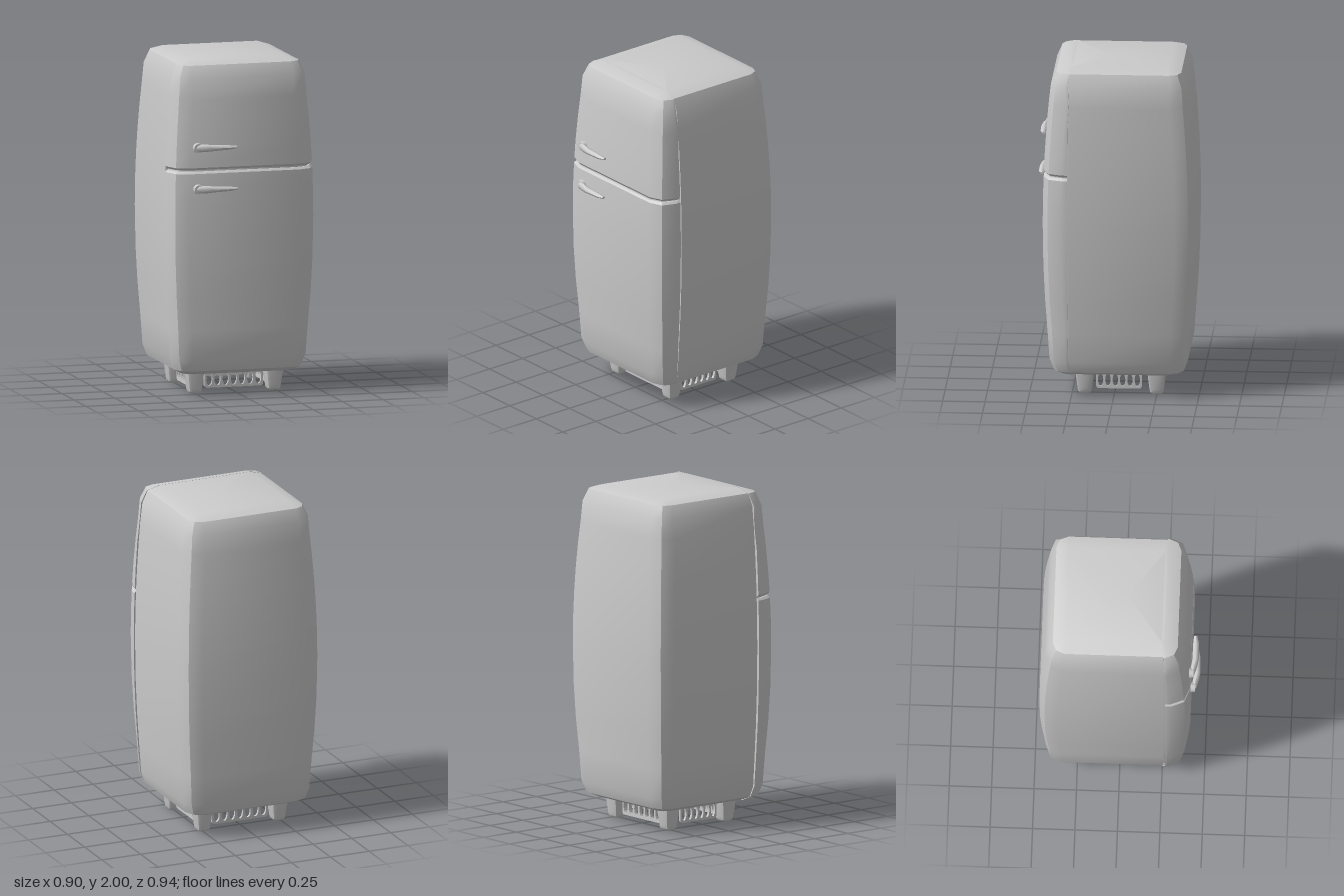
import * as THREE from 'three';
import { toCreasedNormals } from 'three/addons/utils/BufferGeometryUtils.js';

const ZC = -0.0275; // depth centre of the cabinet
const INSET = 0.015; // how far the cabinet sits behind the doors
const material = new THREE.MeshStandardMaterial({ color: 0xcccccc });

function addMesh(parent, name, geometry) {
  const mesh = new THREE.Mesh(geometry, material);
  mesh.name = name;
  parent.add(mesh);
  return mesh;
}

// Skin a stack of closed rings and cap both ends
function loft(rings, crease = 0.5) {
  const n = rings[0].length, pos = [];
  const tri = (...pts) => pts.forEach((p) => pos.push(...p));
  for (let i = 0; i < rings.length - 1; i++) {
    for (let j = 0; j < n; j++) {
      const k = (j + 1) % n;
      const a = rings[i][j], b = rings[i][k], c = rings[i + 1][j], d = rings[i + 1][k];
      tri(a, c, b);
      tri(b, c, d);
    }
  }
  [rings[0], rings[rings.length - 1]].forEach((ring, end) => {
    const mid = [0, 1, 2].map((q) => ring.reduce((s, p) => s + p[q], 0) / n);
    for (let j = 0; j < n; j++) {
      const p = ring[j], q = ring[(j + 1) % n];
      if (end) tri(mid, q, p);
      else tri(mid, p, q);
    }
  });
  const g = new THREE.BufferGeometry();
  g.setAttribute('position', new THREE.Float32BufferAttribute(pos, 3));
  return toCreasedNormals(g, crease);
}

// Two-segment rounded corner k of a rectangle (0 = +x +z, then towards -x)
function corner(k, hx, hz, r, y, zc) {
  const sx = k === 0 || k === 3 ? 1 : -1, sz = k < 2 ? 1 : -1;
  return [0, 1, 2].map((i) => {
    const a = (k + i / 2) * Math.PI / 2;
    return [sx * (hx - r) + r * Math.cos(a), y, zc + sz * (hz - r) + r * Math.sin(a)];
  });
}

const bulge = (y) => 0.447 - 0.062 * (y - 1.05) ** 2;

// Levels are [height, half width, corner radius]
const level = (y) => [y, bulge(y), 0.11];
const bottomLevels = [[0.13, 0.335, 0.06], [0.155, 0.385, 0.09], [0.22, 0.408, 0.1]];
const lowerLevels = [0.4, 0.6, 0.8, 1.05, 1.2].map(level);
const upperLevels = [1.5, 1.65, 1.78].map(level);
const topLevels = [[1.9, 0.4, 0.09], [1.975, 0.368, 0.07], [2, 0.29, 0.002]];

// Cabinet section: full width at the back, stepped in behind the doors
function cabinetRing([y, h, r]) {
  const w = h - INSET;
  const s = Math.min(0.26, ZC + w - r);
  return [
    ...corner(0, w, w, r, y, ZC), ...corner(1, w, w, r, y, ZC),
    [-w, y, s], [-h, y, s],
    ...corner(2, h, h, r, y, ZC), ...corner(3, h, h, r, y, ZC),
    [h, y, s], [w, y, s],
  ];
}

// Door section: front and both wrapped sides, slightly proud of the cabinet
function doorRing([y, h, r]) {
  const w = h + 0.004;
  const s = Math.min(0.27, ZC + h - r - INSET);
  return [
    ...corner(0, w, h, r, y, ZC), ...corner(1, w, h, r, y, ZC),
    [-w, y, s], [w, y, s],
  ];
}

// Panel with oval slots between two feet
function grille(length, slots) {
  const h = length / 2, r = 0.02, y0 = 0.025, y1 = 0.145;
  const shape = new THREE.Shape();
  shape.moveTo(-h, y1);
  shape.lineTo(-h, y0 + r);
  shape.quadraticCurveTo(-h, y0, -h + r, y0);
  shape.lineTo(h - r, y0);
  shape.quadraticCurveTo(h, y0, h, y0 + r);
  shape.lineTo(h, y1);
  const pitch = (length - 0.01) / slots;
  for (let i = 0; i < slots; i++) {
    const hole = new THREE.Path();
    hole.absellipse((i - (slots - 1) / 2) * pitch, 0.077, pitch * 0.37, 0.039, 0, Math.PI * 2, true);
    shape.holes.push(hole);
  }
  const g = new THREE.ExtrudeGeometry(shape, { depth: 0.016, bevelEnabled: false, curveSegments: 8 });
  return g.translate(0, 0, -0.008);
}

// Lever handle: round mount plus a tapering grip
function makeHandle(name, y) {
  const handle = new THREE.Group();
  handle.name = name;
  const mount = new THREE.CylinderGeometry(0.027, 0.031, 0.04, 12).rotateX(Math.PI / 2);
  addMesh(handle, 'handleMount', mount).position.set(-0.288, 0, 0.006);
  // Sections: x, z offset, half height, half depth
  const sections = [
    [-0.315, 0.014, 0.008, 0.008], [-0.285, 0.018, 0.024, 0.016], [-0.24, 0.028, 0.022, 0.019],
    [-0.2, 0.034, 0.018, 0.019], [-0.1, 0.034, 0.013, 0.017], [-0.055, 0.03, 0.007, 0.01],
  ];
  const rings = sections.map(([x, z, hy, hz]) => Array.from({ length: 8 }, (_, i) => {
    const a = i * Math.PI / 4;
    return [x, hy * Math.cos(a), z - hz * Math.sin(a)];
  }));
  addMesh(handle, 'handleGrip', loft(rings, 0.9));
  handle.position.set(0, y, ZC + bulge(y));
  return handle;
}

export function createModel() {
  const model = new THREE.Group();
  model.name = 'refrigerator';

  // Cabinet, kept a hair inside the door ends
  const all = [...bottomLevels, ...lowerLevels, level(1.36), ...upperLevels, ...topLevels];
  const cabinet = all.map(([y, h, r]) => [THREE.MathUtils.clamp(y, 0.132, 1.999), h, r]);
  addMesh(model, 'cabinet', loft(cabinet.map(cabinetRing)));

  // Doors, with eased edges at the gap between them
  const eased = (y) => [y, bulge(y) - 0.01, 0.11];
  const fridge = [...bottomLevels, ...lowerLevels, level(1.34), eased(1.353)];
  const freezer = [eased(1.362), level(1.375), ...upperLevels, ...topLevels];
  addMesh(model, 'fridgeDoor', loft(fridge.map(doorRing)));
  addMesh(model, 'freezerDoor', loft(freezer.map(doorRing)));

  model.add(makeHandle('freezerHandle', 1.495), makeHandle('fridgeHandle', 1.25));

  // Feet: tapered rounded squares
  const footX = 0.242, footZ = 0.212, baseZ = -0.036;
  const footLevels = [[0, 0.03, 0.012], [0.01, 0.038, 0.016], [0.03, 0.042, 0.018], [0.145, 0.056, 0.022]];
  const foot = loft(footLevels.map(([y, h, r]) => [0, 1, 2, 3].flatMap((k) => corner(k, h, h, r, y, 0))));
  for (const sx of [-1, 1]) {
    for (const sz of [-1, 1]) {
      const name = (sz > 0 ? 'front' : 'back') + (sx > 0 ? 'Left' : 'Right') + 'Foot';
      addMesh(model, name, foot).position.set(sx * footX, 0, baseZ + sz * footZ);
    }
  }

  // Slotted grilles on all four sides of the base
  const wide = grille(0.36, 7), narrow = grille(0.27, 6);
  for (const s of [-1, 1]) {
    addMesh(model, s > 0 ? 'frontGrille' : 'backGrille', wide).position.set(0, 0, baseZ + s * footZ);
    const side = addMesh(model, s > 0 ? 'leftGrille' : 'rightGrille', narrow);
    side.position.set(s * footX, 0, -0.025);
    side.rotation.y = Math.PI / 2;
  }
  return model;
}
